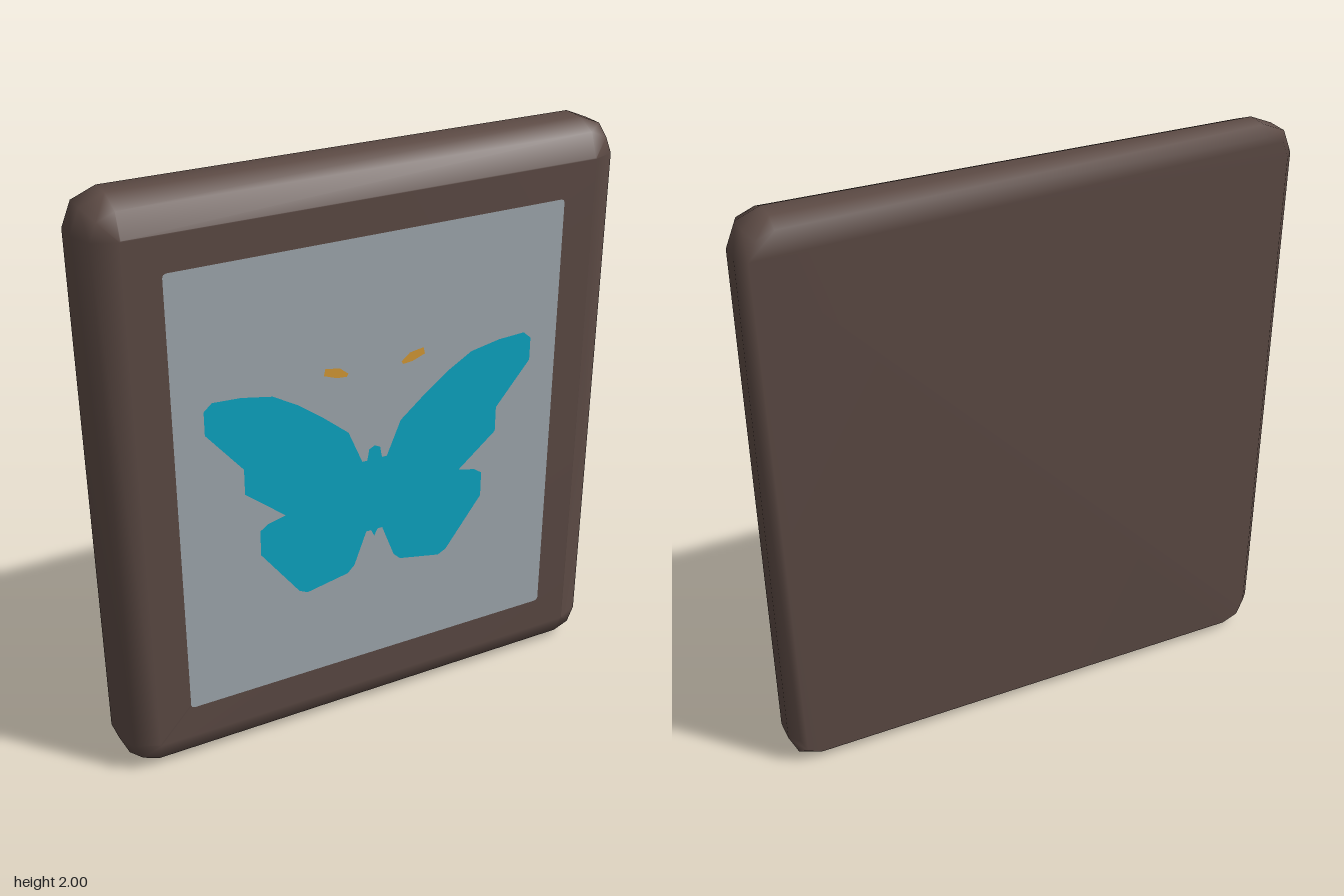
import * as THREE from 'three';

const paint = (name, color) => {
  const m = new THREE.MeshStandardMaterial({ color });
  m.name = name;
  return m;
};

// Points around a rounded rectangle, counter-clockwise seen from the front
function roundedLoop(halfW, halfH, radius, steps) {
  const points = [];
  [[1, 1], [-1, 1], [-1, -1], [1, -1]].forEach(([sx, sy], corner) => {
    for (let i = 0; i <= steps; i++) {
      const a = (corner + i / steps) * Math.PI / 2;
      points.push([
        sx * (halfW - radius) + radius * Math.cos(a),
        1 + sy * (halfH - radius) + radius * Math.sin(a),
      ]);
    }
  });
  return points;
}

// Pillow-edged slab: rounded loops stacked from back to front, capped at both ends
function frameGeometry() {
  const layers = [ // z, inset, corner radius
    [-0.108, 0.032, 0.08],
    [-0.075, 0, 0.11],
    [0, 0, 0.11],
    [0.075, 0.032, 0.08],
    [0.107, 0.108, 0.004],
  ];
  const position = [], index = [];
  let n = 0;
  for (const [z, inset, radius] of layers) {
    const loop = roundedLoop(0.908 - inset, 1 - inset, radius, 2);
    n = loop.length;
    loop.forEach(([x, y]) => position.push(x, y, z));
  }
  for (let k = 0; k < layers.length - 1; k++) {
    for (let i = 0; i < n; i++) {
      const a = k * n + i, b = k * n + (i + 1) % n;
      index.push(a, b, b + n, a, b + n, a + n);
    }
  }
  const front = (layers.length - 1) * n;
  for (let i = 1; i < n - 1; i++) {
    index.push(0, i + 1, i);
    index.push(front, front + i, front + i + 1);
  }
  const g = new THREE.BufferGeometry();
  g.setAttribute('position', new THREE.Float32BufferAttribute(position, 3));
  g.setIndex(index);
  g.computeVertexNormals();
  return g;
}

const toShape = (points) => new THREE.Shape(points.map(([x, y]) => new THREE.Vector2(x, y)));

// Half of the butterfly outline, from head to tail
const wing = [
  [0, 1.05], [0.02, 1.04], [0.027, 1.0], [0.045, 1.0], [0.095, 1.12], [0.19, 1.2],
  [0.27, 1.26], [0.355, 1.31], [0.46, 1.33], [0.555, 1.335], [0.583, 1.31], [0.583, 1.23],
  [0.46, 1.08], [0.46, 0.99], [0.322, 0.875], [0.385, 0.86], [0.413, 0.84], [0.413, 0.75],
  [0.28, 0.57], [0.25, 0.555], [0.1, 0.585], [0.075, 0.61], [0.03, 0.73], [0.012, 0.73],
  [0, 0.705],
];
const antenna = [
  [0.095, 1.33], [0.125, 1.355], [0.175, 1.363], [0.18, 1.34], [0.135, 1.323], [0.1, 1.32],
];
const mirror = (points) => points.map(([x, y]) => [-x, y]).reverse();

export function createModel() {
  const group = new THREE.Group();
  group.name = 'framedButterfly';

  const brown = paint('frame brown', 0x5d4b45);
  const grey = paint('backing grey', 0xa0a9af);
  const teal = paint('wing teal', 0x0ca6c4);
  const amber = paint('antenna amber', 0xd69a35);

  const add = (name, geometry, material, z = 0) => {
    const mesh = new THREE.Mesh(geometry, material);
    mesh.name = name;
    mesh.position.z = z;
    group.add(mesh);
  };
  // Flat painted face lying just above the frame front
  const addFace = (name, points, material, z) =>
    add(name, new THREE.ShapeGeometry(toShape(points)), material, z);

  add('frame', frameGeometry(), brown);
  addFace('backingPanel', roundedLoop(0.684, 0.774, 0.012, 2), grey, 0.1085);
  addFace('butterfly', [...wing, ...mirror(wing).slice(1, -1)], teal, 0.11);
  addFace('leftAntennaTip', antenna, amber, 0.11);
  addFace('rightAntennaTip', mirror(antenna), amber, 0.11);

  return group;
}
